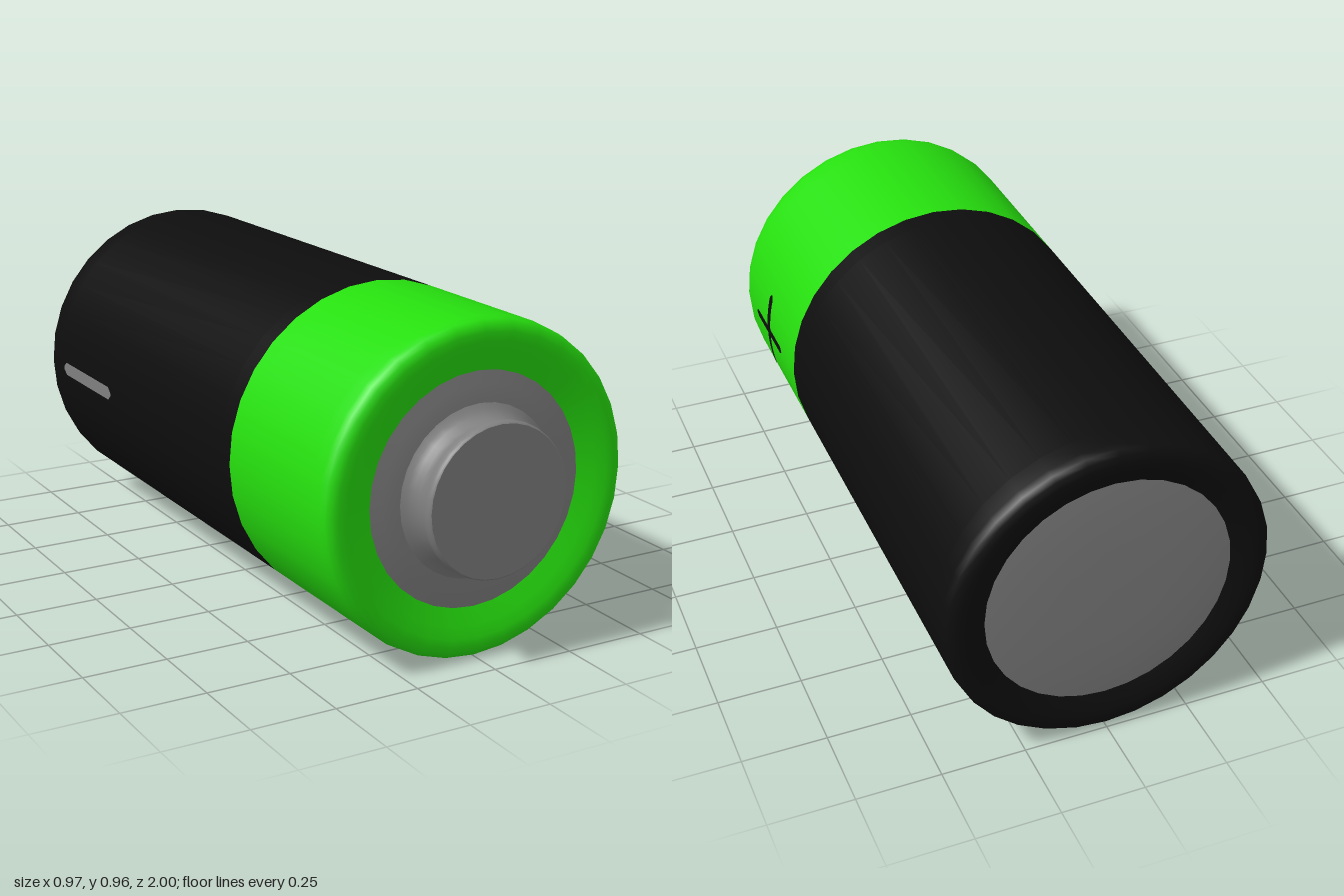
import * as THREE from 'three';

const SEG = 32;
const R = 0.481;

function material(name, color) {
  const m = new THREE.MeshStandardMaterial({ color });
  m.name = name;
  return m;
}

// Revolved part along z; profile is [radius, z] pairs running outside of the part back to front
function lathe(name, profile, mat) {
  const geo = new THREE.LatheGeometry(profile.map(([r, z]) => new THREE.Vector2(r, z)), SEG);
  geo.rotateX(Math.PI / 2);
  const mesh = new THREE.Mesh(geo, mat);
  mesh.name = name;
  return mesh;
}

// Thin rounded bar wrapped on the +x side of the casing, along z or vertical
function wrappedBar(name, length, width, z, vertical, mat) {
  const geo = new THREE.PlaneGeometry(2, 2, 20, 1);
  const pos = geo.attributes.position;
  const h = length / 2, w = width / 2;
  for (let i = 0; i < pos.count; i++) {
    const along = pos.getX(i) * h;
    const end = Math.max(0, (Math.abs(along) - (h - w)) / w);
    const across = pos.getY(i) * w * Math.sqrt(Math.max(0.05, 1 - end * end));
    const y = vertical ? along : across;
    const dz = vertical ? -across : along;
    pos.setXYZ(i, Math.sqrt((R + 0.003) ** 2 - y * y), y, z + dz);
  }
  geo.computeVertexNormals();
  const mesh = new THREE.Mesh(geo, mat);
  mesh.name = name;
  return mesh;
}

export function createModel() {
  const green = material('green wrap', 0x26df0e);
  const black = material('black wrap', 0x0d0d0d);
  const grey = material('grey metal', 0x808080);
  black.side = THREE.DoubleSide;
  grey.side = THREE.DoubleSide;

  const battery = new THREE.Group();
  battery.name = 'battery';

  // Casing: rounded rims that dip slightly inward around the end plates
  battery.add(
    lathe('blackCasing', [
      [0.365, -0.975], [0.39, -0.988], [0.42, -0.998], [0.445, -1], [0.465, -0.994],
      [0.477, -0.98], [R, -0.955], [R, -0.9], [R, 0.3], [R, 0.363],
    ], black),
    lathe('greenCasing', [
      [R, 0.363], [R, 0.42], [R, 0.82], [R, 0.87], [0.477, 0.895], [0.465, 0.909],
      [0.445, 0.915], [0.42, 0.913], [0.385, 0.903], [0.335, 0.886],
    ], green),
  );

  // Metal end plates, very slightly domed
  battery.add(
    lathe('backPlate', [[0, -0.985], [0.15, -0.984], [0.28, -0.981], [0.367, -0.974]], grey),
    lathe('frontPlate', [[0.338, 0.886], [0.3, 0.891], [0.26, 0.896], [0.2, 0.898]], grey),
  );

  // Raised contact button with a flared foot and a narrow neck
  battery.add(lathe('contactButton', [
    [0.25, 0.895], [0.235, 0.905], [0.223, 0.918], [0.215, 0.935], [0.213, 0.955],
    [0.22, 0.97], [0.222, 0.985], [0.22, 0.996], [0.216, 1],
  ], grey));
  const face = new THREE.Mesh(new THREE.CircleGeometry(0.216, SEG), grey);
  face.name = 'contactFace';
  face.position.z = 1;
  battery.add(face);

  // Polarity marks
  battery.add(
    wrappedBar('plusBarAlong', 0.275, 0.026, 0.63, false, black),
    wrappedBar('plusBarUpright', 0.265, 0.03, 0.63, true, black),
  );
  const minus = wrappedBar('minusBar', 0.39, 0.042, 0.67, false, grey);
  minus.rotation.y = Math.PI;
  battery.add(minus);

  battery.position.y = R;
  const model = new THREE.Group();
  model.name = 'model';
  model.add(battery);
  return model;
}
